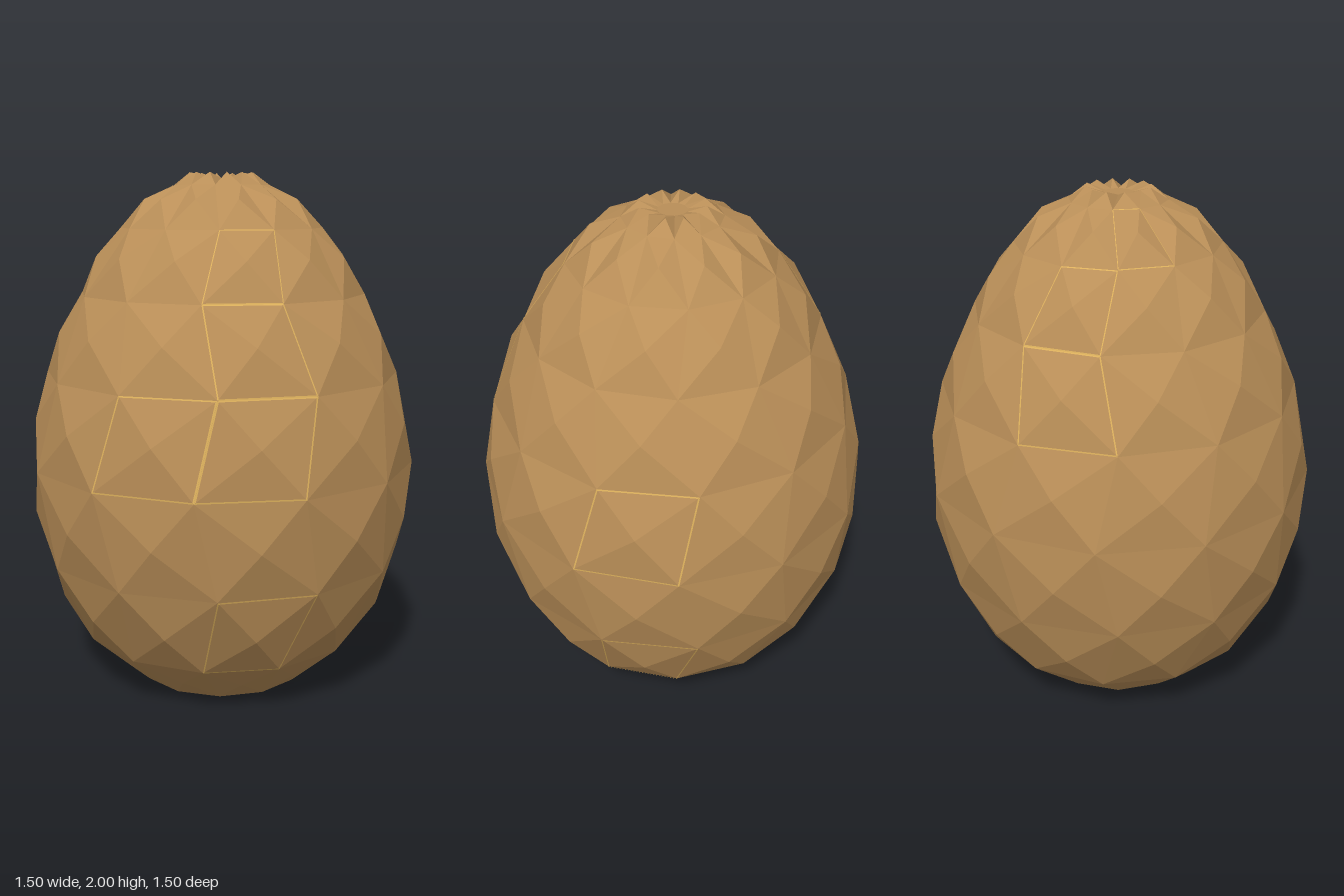
import * as THREE from 'three';

const SIDES = 12;
// rings of the egg: [radius, height]
const RINGS = [
  [0.33, 0], [0.55, 0.19], [0.71, 0.52], [0.755, 0.885], [0.69, 1.23],
  [0.555, 1.54], [0.39, 1.79], [0.185, 1.95], [0.055, 1.975],
];
// panels with a bright seam: [ring, column]
const SEAMS = [[3, 11], [4, 11], [3, 10], [5, 11], [4, 6], [5, 6], [6, 7], [3, 2], [1, 2], [1, 11]];

// corner on a ring; odd rings are turned a little
function corner(ring, col) {
  const [r, y] = RINGS[ring];
  const a = THREE.MathUtils.degToRad(col * 30 - (ring % 2) * 6);
  return new THREE.Vector3(r * Math.sin(a), y, r * Math.cos(a));
}

// four corners and the raised middle of one panel
function panel(ring, col) {
  const c = [corner(ring, col), corner(ring, col + 1), corner(ring + 1, col + 1), corner(ring + 1, col)];
  const mid = new THREE.Vector3();
  c.forEach((p) => mid.addScaledVector(p, 0.25));
  const normal = c[2].clone().sub(c[0]).cross(c[3].clone().sub(c[1])).normalize();
  mid.addScaledVector(normal, ring === 0 ? 0.01 : 0.036);
  return { c, mid };
}

function meshFrom(points, material, name) {
  const geometry = new THREE.BufferGeometry().setFromPoints(points);
  geometry.computeVertexNormals();
  const mesh = new THREE.Mesh(geometry, material);
  mesh.name = name;
  return mesh;
}

export function createModel() {
  const shellMat = new THREE.MeshStandardMaterial({ color: 0xba8f58 });
  shellMat.name = 'tan shell';
  const seamMat = new THREE.MeshStandardMaterial({ color: 0xdcb05c });
  seamMat.name = 'gold seam';
  const model = new THREE.Group();
  model.name = 'facetedEgg';

  // rows of low pyramids
  const shell = [];
  for (let ring = 0; ring < RINGS.length - 1; ring++) {
    for (let col = 0; col < SIDES; col++) {
      const { c, mid } = panel(ring, col);
      for (let i = 0; i < 4; i++) shell.push(c[i], c[(i + 1) % 4], mid);
    }
  }
  model.add(meshFrom(shell, shellMat, 'scaledShell'));

  // flat base and small top cap
  const base = [], cap = [];
  const last = RINGS.length - 1;
  for (let col = 0; col < SIDES; col++) {
    base.push(corner(0, col + 1), corner(0, col), new THREE.Vector3(0, RINGS[0][1], 0));
    cap.push(corner(last, col), corner(last, col + 1), new THREE.Vector3(0, RINGS[last][1], 0));
  }
  model.add(meshFrom(base, shellMat, 'base'), meshFrom(cap, shellMat, 'topCap'));

  // hairline seams around some panels
  const seams = [];
  for (const [ring, col] of SEAMS) {
    const { c, mid } = panel(ring, col);
    for (let i = 0; i < 4; i++) {
      const a = c[i], b = c[(i + 1) % 4];
      const lift = b.clone().sub(a).cross(mid.clone().sub(a)).setLength(0.002);
      const [p, q, r, s] = [a, b, b.clone().lerp(mid, 0.03), a.clone().lerp(mid, 0.03)].map((v) => v.clone().add(lift));
      seams.push(p, q, r, p, r, s);
    }
  }
  model.add(meshFrom(seams, seamMat, 'seams'));
  return model;
}
